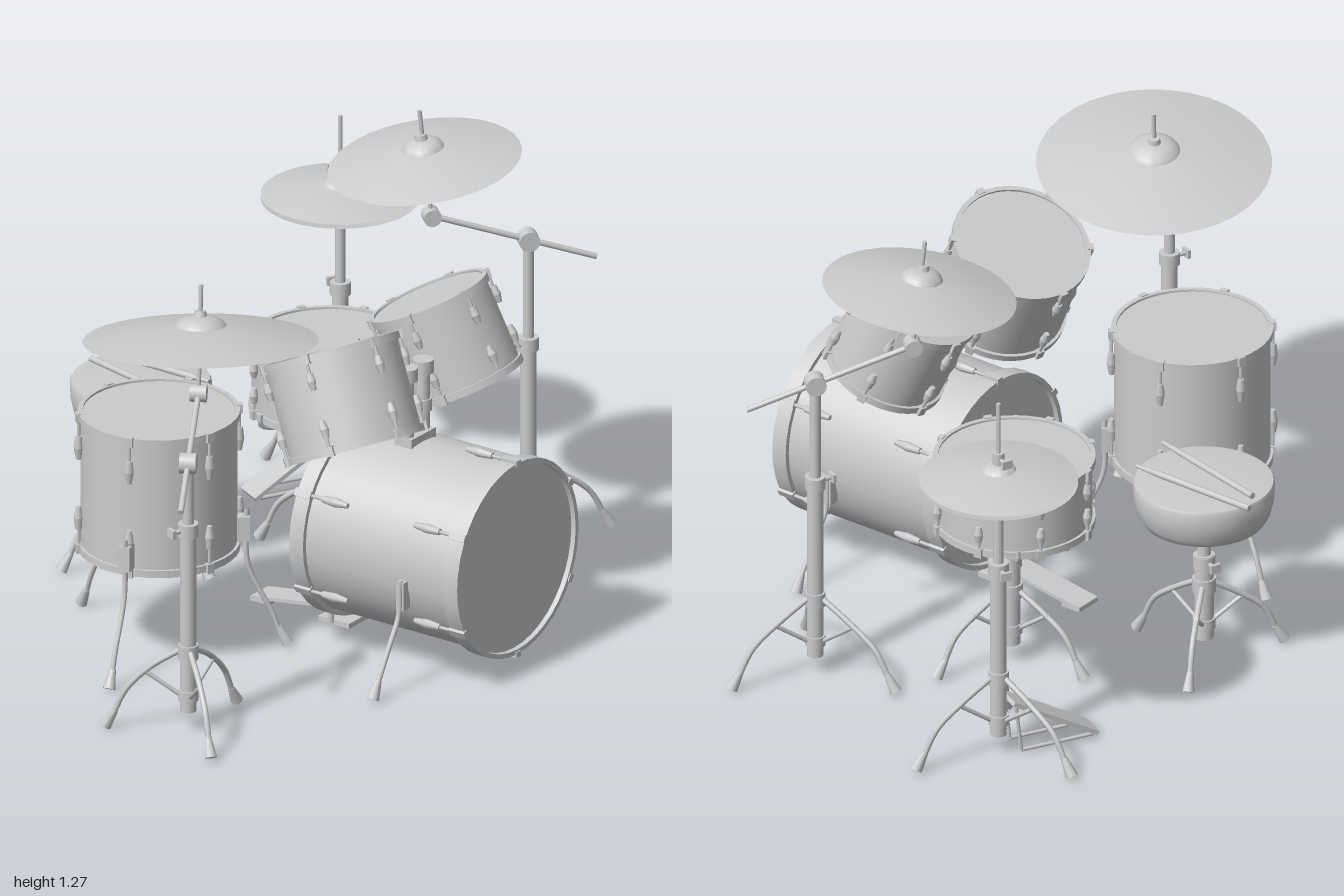
import * as THREE from 'three';
import { toCreasedNormals } from 'three/addons/utils/BufferGeometryUtils.js';

const mat = new THREE.MeshStandardMaterial({ color: 0xcccccc });
const thin = new THREE.MeshStandardMaterial({ color: 0xcccccc, side: THREE.DoubleSide });
const UP = new THREE.Vector3(0, 1, 0);
const V = (x, y, z) => new THREE.Vector3(x, y, z);
const rad = THREE.MathUtils.degToRad;

function group(name, parent) {
  const g = new THREE.Group();
  g.name = name;
  parent.add(g);
  return g;
}

function add(parent, name, geo, x = 0, y = 0, z = 0, m = mat) {
  const mesh = new THREE.Mesh(geo, m);
  mesh.name = name;
  mesh.position.set(x, y, z);
  parent.add(mesh);
  return mesh;
}

// Straight round bar between two points, r0 at a and r1 at b
function rod(parent, name, a, b, r0, r1 = r0, sides = 12) {
  const d = b.clone().sub(a);
  const c = a.clone().add(b).multiplyScalar(0.5);
  const mesh = add(parent, name, new THREE.CylinderGeometry(r1, r0, d.length(), sides), c.x, c.y, c.z);
  mesh.quaternion.setFromUnitVectors(UP, d.normalize());
}

function tube(parent, name, pts, r) {
  add(parent, name, new THREE.TubeGeometry(new THREE.CatmullRomCurve3(pts, false, 'centripetal'), 16, r, 8));
}

function lathe(pts, seg = 36) {
  return new THREE.LatheGeometry(pts.map(p => new THREE.Vector2(...p)), seg);
}

// Points at radius r and height y on a spoke leaving (x, z) at an angle
function spokePoint(x, z, deg) {
  const c = Math.cos(rad(deg)), s = Math.sin(rad(deg));
  return (r, y) => V(x + c * r, y, z + s * r);
}

// Drum along the line from bottom to top: shell with recessed heads, hoops and tension lugs
function drum(parent, name, bottom, top, r, { hoop = 0.02, lip = 0.008, lugs = 6, lug = 0.1, turn = 0 } = {}) {
  const g = group(name, parent);
  const axis = top.clone().sub(bottom), h = axis.length();
  g.position.copy(bottom);
  g.quaternion.setFromUnitVectors(UP, axis.normalize());
  add(g, 'shell', new THREE.CylinderGeometry(r, r, h - hoop * 0.6, 40), 0, h / 2, 0);
  const R = r + lip, inner = R - 0.013;
  const hoopGeo = toCreasedNormals(lathe([[inner, 0], [R, 0], [R, hoop], [inner, hoop], [inner, 0]], 40), 0.6);
  add(g, 'bottomHoop', hoopGeo);
  add(g, 'topHoop', hoopGeo, 0, h - hoop, 0);
  for (let i = 0; i < lugs; i++) {
    const spoke = group('lugPair', g);
    spoke.rotation.y = turn + (i / lugs) * Math.PI * 2;
    for (const end of [0, 1]) {
      const at = t => V(R, end ? h - t : t, 0);
      add(spoke, 'claw', new THREE.BoxGeometry(0.016, hoop + 0.006, 0.022), R, at(hoop / 2).y, 0);
      rod(spoke, 'tensionRod', at(0.005), at(lug * 0.7), 0.005, 0.005, 6);
      rod(spoke, 'lugCasing', at(lug * 0.5), at(lug * 0.75), 0.009, 0.013, 8);
      rod(spoke, 'lugCasingTip', at(lug * 0.75), at(lug), 0.013, 0.007, 8);
    }
  }
}

// Rubber foot flaring towards the floor
const foot = (parent, end, from) => rod(parent, 'rubberFoot', from, end, 0.009, 0.017, 8);

// Column base with three bowed legs, braces and feet
function tripod(parent, x, z, reach, angles, top, r = 0.022, hub = 0.225) {
  rod(parent, 'column', V(x, 0.05, z), V(x, top, z), r, r, 16);
  rod(parent, 'legCollar', V(x, hub - 0.025, z), V(x, hub + 0.015, z), r + 0.006);
  rod(parent, 'braceCollar', V(x, 0.08, z), V(x, 0.11, z), r + 0.005);
  for (const deg of angles) {
    const P = spokePoint(x, z, deg);
    tube(parent, 'leg', [P(0.02, hub), P(0.1, hub - 0.05), P(reach * 0.74, 0.112), P(reach - 0.02, 0.035)], 0.008);
    rod(parent, 'brace', P(0.02, 0.095), P(0.115, 0.163), 0.006, 0.006, 8);
    foot(parent, P(reach, 0.004), P(reach - 0.027, 0.05));
  }
}

// Clamp collar with a wing screw
function clamp(parent, x, y, z, r, deg) {
  rod(parent, 'clamp', V(x, y - 0.018, z), V(x, y + 0.018, z), r);
  const end = spokePoint(x, z, deg)(r + 0.025, y);
  rod(parent, 'wingScrew', V(x, y, z), end, 0.006);
  add(parent, 'wing', new THREE.BoxGeometry(0.01, 0.024, 0.03), end.x, y, end.z).rotation.y = -rad(deg);
}

// Bowed cymbal with a raised bell
function cymbal(parent, name, centre, normal, r, h) {
  const pts = [[1, 0], [0.75, 0.26], [0.45, 0.5], [0.22, 0.62], [0.2, 0.76], [0.14, 0.93], [0.06, 1], [0, 1]];
  const geo = toCreasedNormals(lathe(pts.map(([a, b]) => [a * r, b * h])), 0.5);
  add(parent, name, geo, centre.x, centre.y, centre.z, thin).quaternion.setFromUnitVectors(UP, normal);
}

// Cymbal on a boom stand: tip is the tilter at the end of the arm
function boomStand(parent, name, hub, tip, rodTop, angles, reach, rim, normal, r) {
  const g = group(name, parent);
  tripod(g, hub.x, hub.z, reach, angles, 0.57);
  clamp(g, hub.x, 0.57, hub.z, 0.028, 200);
  rod(g, 'upperTube', V(hub.x, 0.55, hub.z), hub, 0.015);
  const back = hub.clone().sub(tip);
  rod(g, 'boomArm', tip, hub.clone().addScaledVector(back, 0.7), 0.008);
  const side = V(back.z, 0, -back.x).normalize().multiplyScalar(0.022);
  for (const [n, p, s] of [['boomHinge', hub, 0.028], ['tilter', tip, 0.024]]) {
    rod(g, n, p.clone().sub(side), p.clone().add(side), s, s, 14);
  }
  rod(g, 'cymbalRod', tip, rodTop, 0.006);
  normal.normalize();
  cymbal(g, 'cymbal', rim, normal, r, 0.068);
  const seat = rim.clone().addScaledVector(normal, 0.06);
  rod(g, 'felt', seat, seat.clone().addScaledVector(normal, 0.022), 0.02, 0.015);
}

export function createModel() {
  const kit = new THREE.Group();
  kit.name = 'drumKit';

  // Bass drum with spurs
  drum(kit, 'bassDrum', V(-0.007, 0.315, 0.172), V(-0.007, 0.315, 0.72), 0.26, { hoop: 0.045, lip: 0.014, lug: 0.165, turn: Math.PI / 6 });
  const spurs = group('bassSpurs', kit);
  for (const s of [-1, 1]) {
    const P = (x, y, z) => V(-0.007 + s * x, y, z);
    add(spurs, 'spurBracket', new THREE.BoxGeometry(0.03, 0.08, 0.025), -0.007 + s * 0.262, 0.255, 0.535);
    tube(spurs, 'spur', [P(0.275, 0.3, 0.535), P(0.283, 0.2, 0.535), P(0.32, 0.14, 0.537), P(0.385, 0.04, 0.54)], 0.007);
    foot(spurs, P(0.405, 0.004, 0.54), P(0.38, 0.05, 0.54));
  }

  // Rack toms
  drum(kit, 'largeRackTom', V(-0.265, 0.637, 0.38), V(-0.225, 0.88, 0.265), 0.18, { lug: 0.095, turn: 0.3 });
  drum(kit, 'smallRackTom', V(0.225, 0.655, 0.38), V(0.203, 0.888, 0.275), 0.16, { lug: 0.095, turn: 0.3 });

  // Tom mount
  const mount = group('tomMount', kit);
  add(mount, 'basePlate', new THREE.BoxGeometry(0.11, 0.03, 0.055), -0.004, 0.58, 0.383);
  for (const s of [-1, 1]) {
    const x = -0.004 + s * 0.036;
    rod(mount, 'post', V(x, 0.58, 0.383), V(x, 0.79, 0.383), 0.018);
    rod(mount, 'postClamp', V(x, 0.645, 0.383), V(x, 0.68, 0.383), 0.023);
    rod(mount, 'postHead', V(x, 0.755, 0.383), V(x, 0.792, 0.383), 0.029);
    rod(mount, 'tomArm', V(x, 0.775, 0.383), V(s * 0.11, 0.765, 0.33), 0.012);
  }

  // Floor tom on three bent legs
  const fx = -0.43, fz = -0.145;
  drum(kit, 'floorTom', V(fx, 0.28, fz), V(fx, 0.675, fz), 0.207, { lug: 0.13, turn: 0.25 });
  const legs = group('floorTomLegs', kit);
  for (const deg of [-73, 54, 167]) {
    const P = spokePoint(fx, fz, deg), b = P(0.22, 0.335);
    add(legs, 'legBracket', new THREE.BoxGeometry(0.04, 0.07, 0.032), b.x, b.y, b.z).rotation.y = -rad(deg);
    tube(legs, 'bentLeg', [P(0.232, 0.39), P(0.232, 0.25), P(0.245, 0.2), P(0.3, 0.09), P(0.32, 0.035)], 0.007);
    foot(legs, P(0.34, 0.004), P(0.316, 0.05));
  }

  // Snare drum on a basket stand
  const sx = 0.335, sz = -0.14;
  drum(kit, 'snareDrum', V(sx, 0.42, sz), V(sx, 0.62, sz), 0.207, { lugs: 8, lug: 0.085, turn: 0.2 });
  const snareStand = group('snareStand', kit);
  tripod(snareStand, sx, -0.128, 0.225, [143, 23, 263], 0.31, 0.026, 0.215);
  rod(snareStand, 'upperTube', V(sx, 0.3, -0.128), V(sx, 0.39, sz), 0.016);
  clamp(snareStand, sx, 0.3, -0.128, 0.03, 30);
  for (const deg of [80, 200, 320]) {
    const P = spokePoint(sx, sz, deg);
    tube(snareStand, 'basketArm', [P(0.01, 0.365), P(0.08, 0.385), P(0.2, 0.408), P(0.222, 0.42), P(0.222, 0.45)], 0.007);
  }

  // Crash and ride cymbals
  boomStand(kit, 'rightCymbalStand', V(-0.845, 0.76, 0.25), V(-0.625, 0.855, 0.125), V(-0.6, 1.155, 0.115),
    [0, 128, 236], 0.22, V(-0.613, 1.0, 0.123), V(0.13, 1, -0.105), 0.313);
  boomStand(kit, 'leftCymbalStand', V(0.705, 0.867, 0.24), V(0.513, 0.957, 0.062), V(0.485, 1.265, 0.043),
    [27, 137, 262], 0.245, V(0.497, 1.115, 0.052), V(-0.12, 1, -0.08), 0.26);

  // Hi-hat
  const hat = group('hiHat', kit), hx = 0.755, hz = -0.41;
  tripod(hat, hx, hz, 0.245, [-90, 148, 25], 0.55);
  clamp(hat, hx, 0.55, hz, 0.028, -60);
  rod(hat, 'upperTube', V(hx, 0.55, hz), V(hx, 0.77, hz), 0.014);
  rod(hat, 'pullRod', V(hx, 0.76, hz), V(hx, 1.045, hz), 0.006);
  cymbal(hat, 'topCymbal', V(hx, 0.82, hz), UP, 0.211, 0.045);
  cymbal(hat, 'bottomCymbal', V(hx, 0.808, hz), V(0, -1, 0), 0.211, 0.045);
  clamp(hat, hx, 0.88, hz, 0.016, -70);

  // Hi-hat pedal sloping down and away from the column
  const hatPedal = group('hiHatPedal', hat);
  hatPedal.position.set(0.622, 0.08, -0.478);
  hatPedal.rotation.y = Math.atan2(-0.225, -0.115);
  add(hatPedal, 'footboard', new THREE.BoxGeometry(0.085, 0.012, 0.285)).rotation.x = 0.53;
  for (const s of [-0.036, 0.036]) {
    rod(hatPedal, 'pedalUpright', V(s, 0.06, -0.115), V(s, -0.07, -0.1), 0.005);
    rod(hatPedal, 'pedalFloorRail', V(s, -0.072, -0.1), V(s, -0.072, 0.11), 0.005);
  }
  rod(hat, 'pedalLink', V(0.73, 0.145, -0.423), V(hx, 0.15, hz), 0.008);

  // Bass pedal
  const pedal = group('bassPedal', kit), px = -0.013;
  add(pedal, 'footboard', new THREE.BoxGeometry(0.08, 0.01, 0.26), px, 0.03, 0.01).rotation.x = -0.15;
  add(pedal, 'heelPlate', new THREE.BoxGeometry(0.08, 0.012, 0.06), px, 0.008, -0.09);
  add(pedal, 'basePlate', new THREE.BoxGeometry(0.1, 0.014, 0.1), px, 0.012, 0.16);
  for (const s of [-1, 1]) rod(pedal, 'upright', V(px + s * 0.05, 0.01, 0.15), V(px + s * 0.05, 0.125, 0.15), 0.009);
  rod(pedal, 'axle', V(px - 0.06, 0.12, 0.15), V(px + 0.06, 0.12, 0.15), 0.01);
  rod(pedal, 'beaterRod', V(px, 0.11, 0.15), V(px, 0.31, 0.085), 0.005);
  rod(pedal, 'beater', V(px, 0.272, 0.075), V(px, 0.286, 0.116), 0.022, 0.022, 16);

  // Throne with a pair of sticks on the seat
  const throne = group('throne', kit), tz = -0.515;
  tripod(throne, 0, tz, 0.225, [90, 214, 333], 0.3, 0.026, 0.215);
  clamp(throne, 0, 0.28, tz, 0.03, -70);
  rod(throne, 'seatPost', V(0, 0.29, tz), V(0, 0.4, tz), 0.018);
  rod(throne, 'seatSocket', V(0, 0.365, tz), V(0, 0.402, tz), 0.03, 0.05);
  const seat = [[0, 0.4], [0.145, 0.4], [0.163, 0.409], [0.177, 0.432], [0.186, 0.47], [0.188, 0.515], [0.184, 0.523], [0.17, 0.525], [0, 0.526]];
  add(throne, 'seat', toCreasedNormals(lathe(seat, 40), 0.7), 0, 0, tz);
  const sticks = group('drumSticks', kit);
  for (const [a, b] of [[V(-0.08, 0.535, -0.315), V(0.01, 0.535, -0.685)], [V(0.065, 0.535, -0.34), V(0.07, 0.535, -0.72)]]) {
    const neck = a.clone().lerp(b, 0.2);
    rod(sticks, 'stick', neck, b, 0.009, 0.009, 10);
    rod(sticks, 'stickTaper', a, neck, 0.005, 0.009, 10);
  }
  return kit;
}
